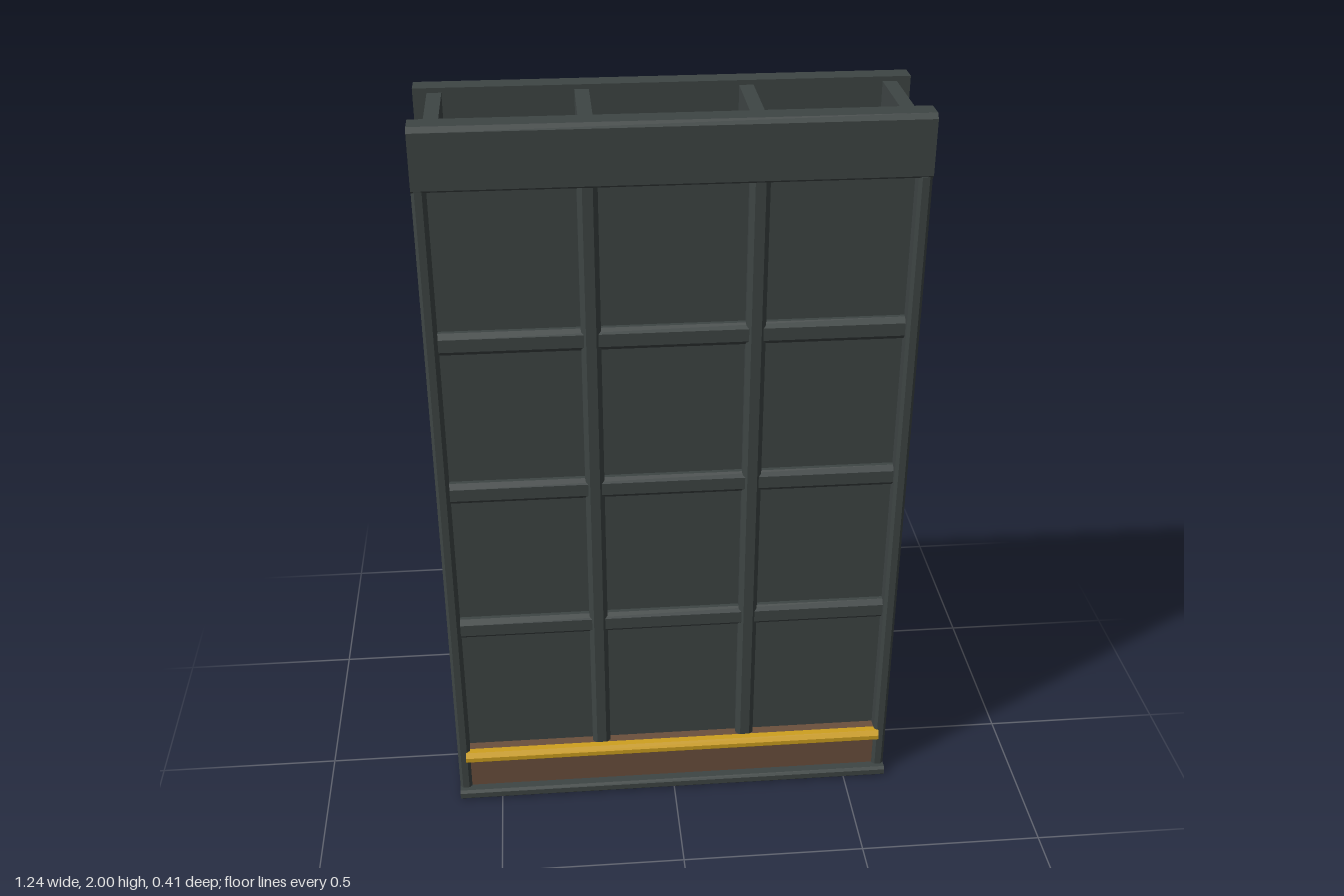
import * as THREE from 'three';

const mat = (name, color) => {
  const m = new THREE.MeshStandardMaterial({ color });
  m.name = name;
  return m;
};

// Closed profile extruded along 'x', 'y' or 'z' and centred on its length
function extrudeAlong(axis, points, length) {
  const shape = new THREE.Shape(points.map(([x, y]) => new THREE.Vector2(x, y)));
  const geo = new THREE.ExtrudeGeometry(shape, { depth: length, bevelEnabled: false });
  geo.translate(0, 0, -length / 2);
  if (axis === 'x') geo.rotateY(Math.PI / 2);
  if (axis === 'y') geo.rotateX(-Math.PI / 2);
  return geo;
}

// Rectangle with cut corners
function chamfered(w, h, c) {
  const a = w / 2, b = h / 2;
  return [[-a + c, -b], [a - c, -b], [a, -b + c], [a, b - c],
    [a - c, b], [-a + c, b], [-a, b - c], [-a, -b + c]];
}

export function createModel() {
  const root = new THREE.Group();
  root.name = 'wallFrame';
  const steel = mat('darkSteel', 0x3e4544);
  const brown = mat('brownPlinth', 0x6b503d);
  const gold = mat('goldTrim', 0xcfa01f);

  const add = (name, geo, material, x = 0, y = 0, z = 0) => {
    const mesh = new THREE.Mesh(geo, material);
    mesh.name = name;
    mesh.position.set(x, y, z);
    root.add(mesh);
  };
  const beam = (name, axis, [sx, sy, sz], c, pos) => {
    const [w, h, l] = axis === 'x' ? [sz, sy, sx] : axis === 'y' ? [sx, sz, sy] : [sx, sy, sz];
    add(name, extrudeAlong(axis, chamfered(w, h, c), l), steel, ...pos);
  };

  // Base slab and raised floor
  beam('baseSlab', 'x', [1.24, 0.03, 0.41], 0.007, [0, 0.015, 0]);
  add('plinth', new THREE.BoxGeometry(1.204, 0.128, 0.35), brown, 0, 0.092, 0);

  // Gold rails on the front and back of the plinth
  const railProfile = [[-0.015, -0.017], [0.004, -0.017], [0.014, -0.008],
    [0.014, 0.005], [0.003, 0.017], [-0.015, 0.017]];
  for (const s of [1, -1]) {
    const geo = extrudeAlong('x', railProfile, 1.194);
    geo.rotateY(s > 0 ? Math.PI : 0);
    add(s > 0 ? 'frontRail' : 'backRail', geo, gold, 0, 0.141, s * 0.184);
  }

  // Corner posts
  for (const x of [-1, 1]) for (const z of [-1, 1])
    beam('cornerPost', 'y', [0.034, 1.82, 0.051], 0.008, [x * 0.603, 0.935, z * 0.16]);

  // Wall panels: front and both sides, open at the back
  add('frontPanel', new THREE.BoxGeometry(1.19, 1.7, 0.015), steel, 0, 1.0, 0.133);
  for (const s of [-1, 1])
    add('sidePanel', new THREE.BoxGeometry(0.011, 1.7, 0.28), steel, s * 0.5955, 1.0, 0);

  // Horizontal bars on every wall
  for (const y of [0.57, 1.003, 1.435]) {
    beam('frontBar', 'x', [1.18, 0.06, 0.084], 0.013, [0, y, 0.123]);
    for (const s of [-1, 1])
      beam('sideBar', 'z', [0.028, 0.06, 0.275], 0.01, [s * 0.6, y, 0]);
  }

  // Vertical mullions on the front wall
  for (const s of [-1, 1])
    beam('mullion', 'y', [0.05, 1.7, 0.094], 0.012, [s * 0.207, 1.0, 0.123]);

  // Header: a channel open at the top and at its ends
  const header = [[-0.182, 1.843], [0.182, 1.843], [0.187, 1.848], [0.187, 1.988],
    [0.175, 2], [0.12, 2], [0.12, 1.9], [-0.12, 1.9], [-0.12, 2],
    [-0.175, 2], [-0.187, 1.988], [-0.187, 1.848]];
  add('header', extrudeAlong('x', header, 1.24), steel);

  // Cross ribs inside the header
  for (const x of [-0.567, -0.205, 0.205, 0.567])
    add('headerRib', new THREE.BoxGeometry(0.036, 0.09, 0.242), steel, x, 1.943, 0);

  return root;
}
